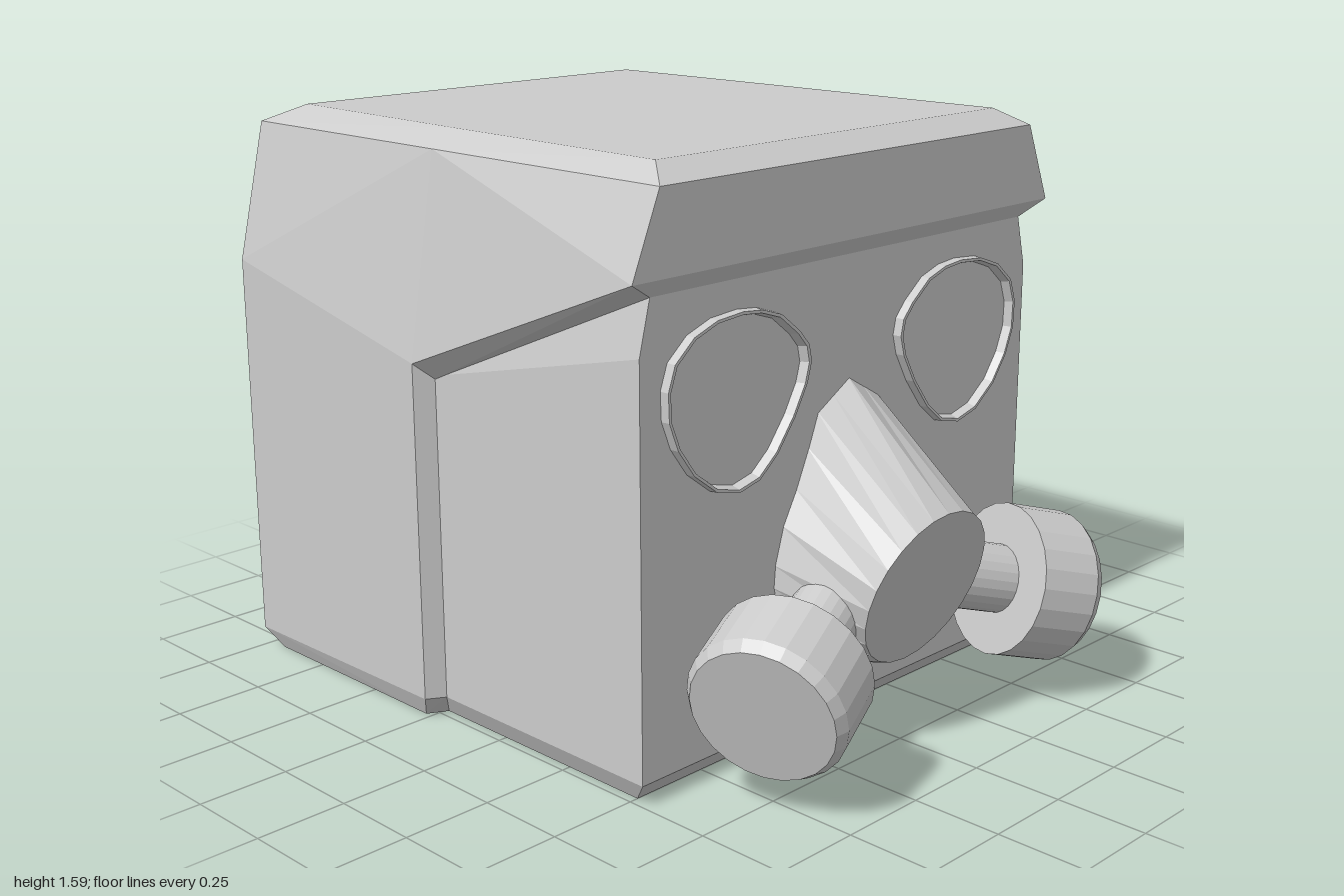
import * as THREE from 'three';
import { ConvexGeometry } from 'three/addons/geometries/ConvexGeometry.js';

const material = new THREE.MeshStandardMaterial({ color: 0xcccccc, flatShading: true });

function part(name, geometry) {
  const mesh = new THREE.Mesh(geometry, material);
  mesh.name = name;
  return mesh;
}

// Convex solid, symmetric in x, from the corners of its +x half
function symmetricHull(corners) {
  const pts = corners.flatMap(([x, y, z]) => [new THREE.Vector3(x, y, z), new THREE.Vector3(-x, y, z)]);
  return new ConvexGeometry(pts);
}

// Skin between closed rings (counterclockwise seen from +z), optional flat cap on the last ring
function loft(rings, cap = false) {
  const n = rings[0].length;
  const pos = rings.flat(2);
  const index = [];
  for (let r = 0; r < rings.length - 1; r++) {
    for (let i = 0; i < n; i++) {
      const j = (i + 1) % n;
      const a = r * n + i, b = r * n + j, c = a + n, d = b + n;
      index.push(a, b, d, a, d, c);
    }
  }
  if (cap) {
    const base = (rings.length - 1) * n;
    for (let i = 1; i < n - 1; i++) index.push(base, base + i, base + i + 1);
  }
  const indexed = new THREE.BufferGeometry();
  indexed.setAttribute('position', new THREE.Float32BufferAttribute(pos, 3));
  indexed.setIndex(index);
  const g = indexed.toNonIndexed();
  g.computeVertexNormals();
  return g;
}

// Raised teardrop frame around one eye
function eyeFrame(side) {
  let outline = [[0.43, 1.205], [0.36, 1.198], [0.29, 1.175], [0.22, 1.12], [0.185, 1.08], [0.175, 1.035],
    [0.19, 0.98], [0.235, 0.9], [0.3, 0.815], [0.365, 0.762], [0.44, 0.745], [0.52, 0.765],
    [0.6, 0.825], [0.655, 0.9], [0.685, 0.975], [0.688, 1.05], [0.665, 1.115], [0.6, 1.17], [0.52, 1.198]];
  if (side < 0) outline = outline.reverse();
  const ring = (scale, z) => outline.map(([x, y]) => [side * (0.45 + (x - 0.45) * scale), 0.985 + (y - 0.985) * scale, z]);
  return part('eyeFrame', loft([ring(1, 0.545), ring(0.99, 0.575), ring(0.955, 0.575), ring(0.925, 0.549)]));
}

// Nose cone running from a pointed base outline to a tilted elliptical cap
function snout() {
  const half = [[0, 0.96], [0.06, 0.925], [0.12, 0.89], [0.155, 0.8], [0.2, 0.7], [0.25, 0.61], [0.28, 0.51],
    [0.285, 0.45], [0.265, 0.36], [0.225, 0.27], [0.155, 0.205], [0.08, 0.182], [0, 0.175]];
  const base = [], front = [];
  for (let i = 0; i < 24; i++) {
    const k = i <= 12 ? i : 24 - i;
    const angle = (i / 24) * Math.PI * 2;
    base.push([(i <= 12 ? -1 : 1) * half[k][0], half[k][1], 0.54]);
    const y = 0.445 + 0.215 * Math.cos(angle);
    front.push([-0.23 * Math.sin(angle), y, 0.885 - 0.3 * (0.66 - y)]);
  }
  return part('snout', loft([base, front], true));
}

// Filter drum with its connecting pipe, turned about one tilted axis
function filter(side) {
  const group = new THREE.Group();
  group.name = side > 0 ? 'leftFilter' : 'rightFilter';
  const turn = (points) => new THREE.LatheGeometry(points.map(([r, y]) => new THREE.Vector2(r, y)), 24);
  group.add(
    part('filterDrum', turn([[0, -0.21], [0.21, -0.21], [0.21, -0.03], [0.19, 0], [0, 0]])),
    part('filterPipe', turn([[0, -0.47], [0.095, -0.47], [0.095, -0.2]])),
  );
  const axis = new THREE.Vector3(side * 0.91, -0.27, 0.32).normalize();
  group.quaternion.setFromUnitVectors(new THREE.Vector3(0, 1, 0), axis);
  group.position.set(side * 0.61, 0.28, 0.81);
  return group;
}

export function createModel() {
  const model = new THREE.Group();
  model.name = 'maskedHead';

  // Rear of the hood, down to the floor
  model.add(part('hoodBack', symmetricHull([
    [0.75, 0, -0.94], [0.805, 0.055, -1], [0.805, 1.16, -1], [0.715, 1.54, -1], [0.615, 1.585, -0.92],
    [0.78, 0, -0.94], [0.78, 0, -0.27], [0.805, 0.06, -0.24], [0.805, 0.995, -0.24], [0.715, 1.54, -0.24],
    [0.635, 1.585, -0.24], [0.725, 0, -0.24], [0.755, 0.06, -0.21], [0.755, 0.95, -0.21],
  ])));

  // Overhanging front of the hood with its sloped lower rim
  model.add(part('hoodFront', symmetricHull([
    [0.805, 1.325, 0.58], [0.715, 1.54, 0.58], [0.65, 1.585, 0.5], [0.805, 0.995, -0.24],
    [0.715, 1.54, -0.24], [0.635, 1.585, -0.24], [0.755, 0.95, -0.21], [0.72, 1.28, 0.55],
  ])));

  // Face block set inside the hood
  model.add(part('face', symmetricHull([
    [0.725, 0, 0.5], [0.755, 0.06, 0.55], [0.755, 1.14, 0.55], [0.72, 1.28, 0.55],
    [0.725, 0, -0.25], [0.755, 0.06, -0.25], [0.755, 0.95, -0.25], [0.72, 1.0, -0.25],
  ])));

  model.add(snout());
  for (const side of [1, -1]) model.add(eyeFrame(side), filter(side));
  return model;
}
